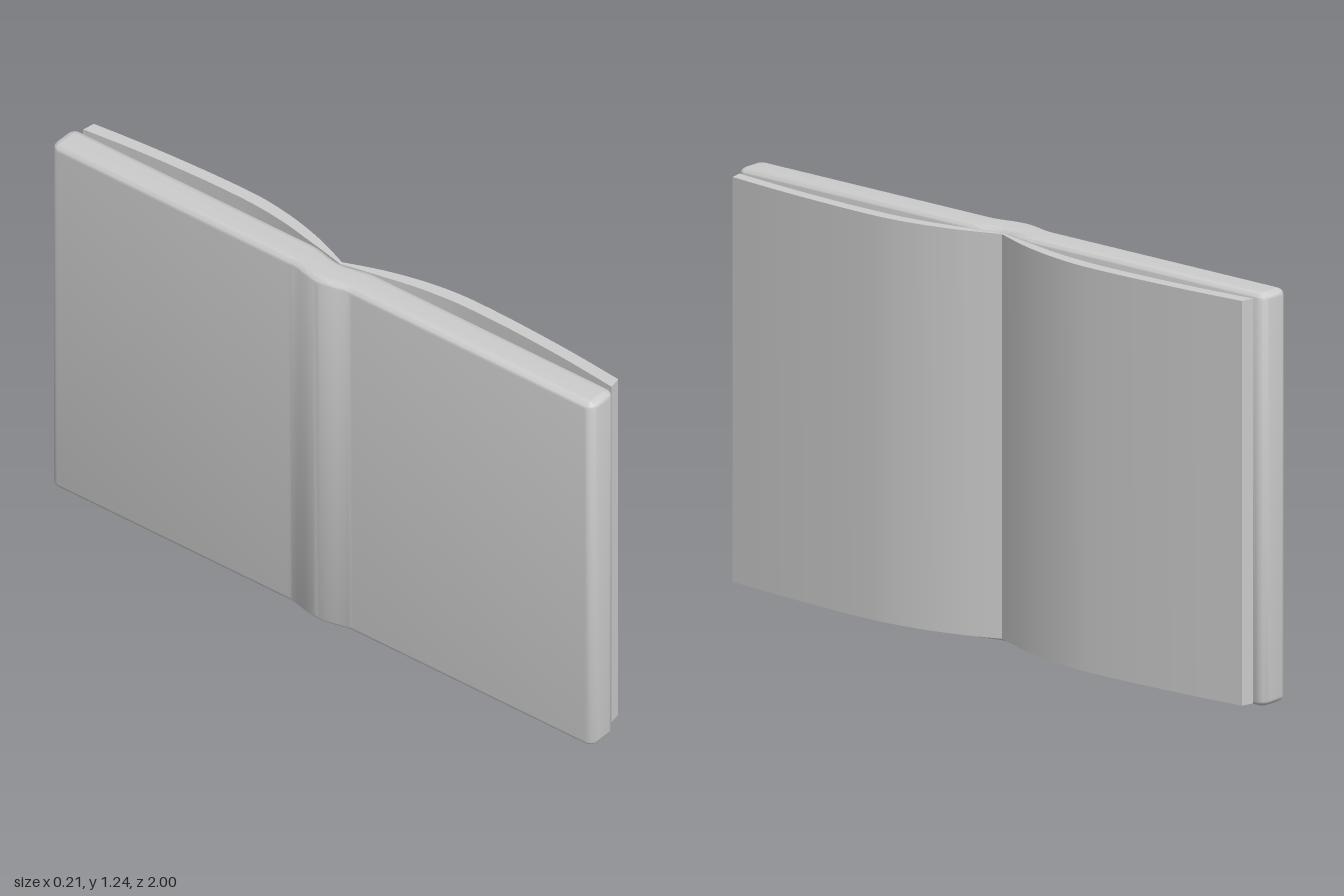
import * as THREE from 'three';
import { toCreasedNormals } from 'three/addons/utils/BufferGeometryUtils.js';

const material = new THREE.MeshStandardMaterial({ color: 0xcccccc });

// Extrudes an outline of [x, z] points upward from y = bottom
function upright(name, points, bottom, options) {
  const shape = new THREE.Shape(points.map(([x, z]) => new THREE.Vector2(x, -z)));
  const geometry = new THREE.ExtrudeGeometry(shape, options);
  geometry.rotateX(-Math.PI / 2).translate(0, bottom, 0);
  const mesh = new THREE.Mesh(toCreasedNormals(geometry, 0.6), material);
  mesh.name = name;
  return mesh;
}

// Padded cover: a slab whose middle bends back around the spine
function createCover() {
  const bevel = 0.025, rise = 0.02, corner = 0.005;
  const back = -0.09 + bevel, front = 0.018 - bevel, end = 1 - bevel;
  const bend = z => Math.abs(z) < 0.12 ? -0.01 * (1 + Math.cos(Math.PI * z / 0.12)) : 0;
  const points = [];
  const addCorner = (x, z, start) => {
    for (let i = 0; i <= 4; i++) {
      const a = start + i * Math.PI / 8;
      points.push([x + corner * Math.cos(a), z + corner * Math.sin(a)]);
    }
  };
  const addFace = (x, direction) => {
    for (let i = -12; i <= 12; i++) {
      const z = direction * i * 0.01;
      points.push([x + bend(z), z]);
    }
  };
  addFace(front, 1);
  addCorner(front - corner, end - corner, 0);
  addCorner(back + corner, end - corner, Math.PI / 2);
  addFace(back, -1);
  addCorner(back + corner, -end + corner, Math.PI);
  addCorner(front - corner, -end + corner, Math.PI * 1.5);
  return upright('cover', points, rise, {
    depth: 1.24 - 2 * rise, bevelEnabled: true,
    bevelSize: bevel, bevelThickness: rise, bevelSegments: 6,
  });
}

// Page curves [x, z] from the gutter to the fore edge
const curve = points => new THREE.SplineCurve(points.map(p => new THREE.Vector2(...p)));
const topPage = curve([[0.008, 0], [0.032, 0.06], [0.06, 0.14], [0.085, 0.24], [0.1, 0.34],
  [0.104, 0.43], [0.101, 0.58], [0.09, 0.78], [0.073, 0.967]]);
const bottomPage = curve([[-0.002, 0], [0.012, 0.06], [0.029, 0.14], [0.049, 0.24], [0.061, 0.34],
  [0.065, 0.43], [0.063, 0.58], [0.052, 0.78], [0.033, 0.975]]);

// One sheaf of pages lying between two fractions of the block's thickness
function createSheaf(name, side, from, to) {
  const steps = 40;
  const sample = fraction => Array.from({ length: steps + 1 }, (_, i) => {
    const p = bottomPage.getPoint(i / steps).lerp(topPage.getPoint(i / steps), fraction);
    return [p.x, side * p.y];
  });
  const points = [...sample(from), ...sample(to).reverse()];
  return upright(name, points, 0.015, { depth: 1.214, bevelEnabled: false });
}

export function createModel() {
  const book = new THREE.Group();
  book.name = 'openBook';
  book.add(createCover());

  // Both halves of the page block, each as a stack of sheaves
  const levels = [0, 0.35, 0.65, 1];
  for (const side of [1, -1]) {
    const pages = new THREE.Group();
    pages.name = side > 0 ? 'frontPages' : 'rearPages';
    for (let i = 0; i < levels.length - 1; i++) {
      pages.add(createSheaf('sheaf' + (i + 1), side, levels[i], levels[i + 1]));
    }
    book.add(pages);
  }
  return book;
}
